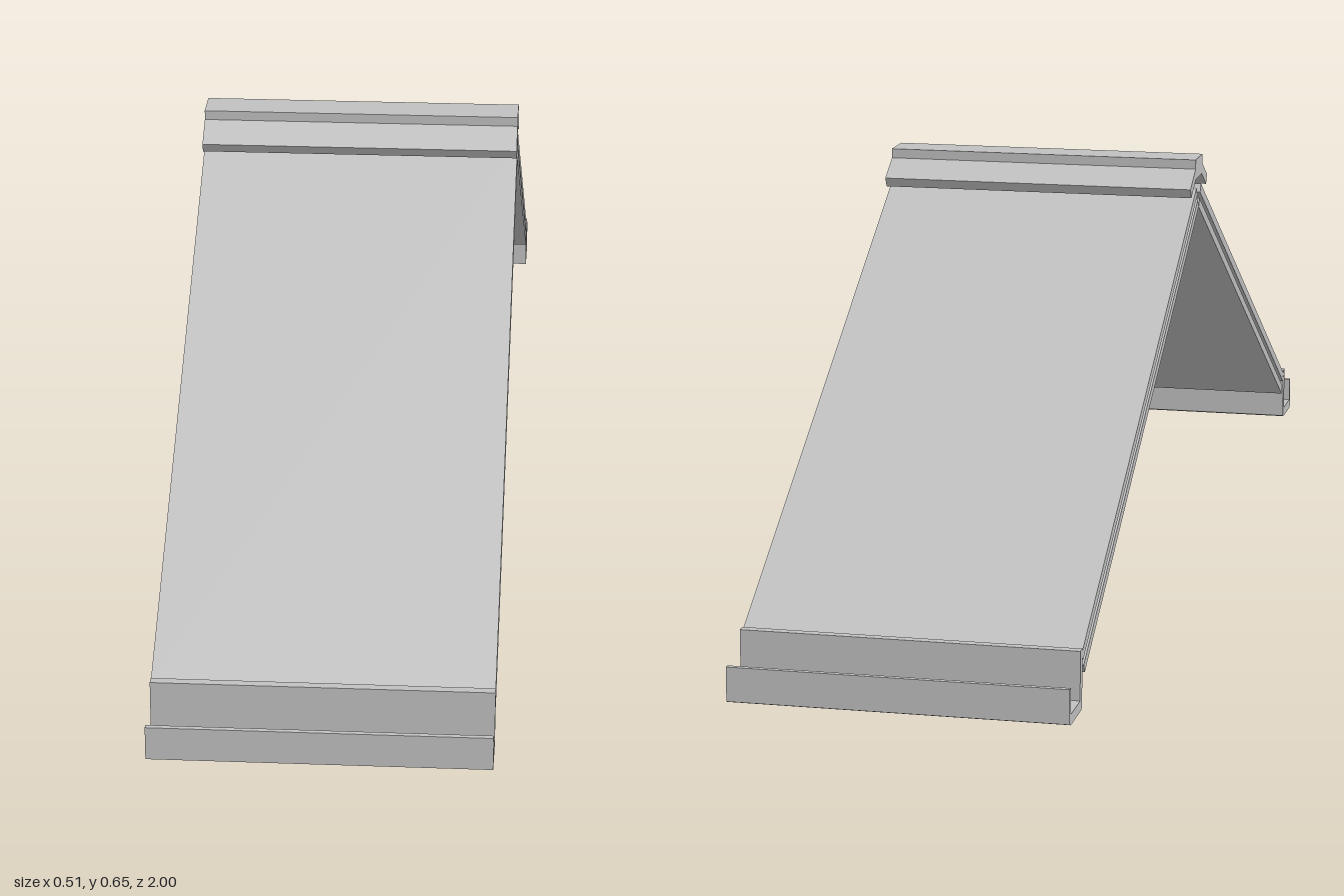
import * as THREE from 'three';

const WIDTH = 0.506;
const SLOPE = Math.PI / 6;

// Extrudes a side profile of [z, y] points along x, centred on x = 0
function extrudeProfile(name, points, width, material) {
  const shape = new THREE.Shape(points.map(([z, y]) => new THREE.Vector2(z, y)));
  const geometry = new THREE.ExtrudeGeometry(shape, { depth: width, bevelEnabled: false });
  geometry.translate(0, 0, -width / 2);
  geometry.rotateY(-Math.PI / 2);
  const mesh = new THREE.Mesh(geometry, material);
  mesh.name = name;
  return mesh;
}

// One layer of the sloping panel, between two heights above its underside
function panelLayer(name, low, high, width, length, material) {
  const c = Math.cos(SLOPE), s = Math.sin(SLOPE);
  const at = (along, up) => [along * c + up * s, 0.567 - along * s + up * c];
  return extrudeProfile(name, [at(0, low), at(length, low), at(length, high), at(0, high)], width, material);
}

// Sloping sandwich panel with a gutter along its eave
function roofSide(name, material) {
  const side = new THREE.Group();
  side.name = name;
  side.add(
    panelLayer('innerSheet', 0, 0.015, WIDTH, 1.035, material),
    panelLayer('panelCore', 0.015, 0.025, WIDTH - 0.016, 1.035, material),
    panelLayer('outerSheet', 0.025, 0.04, WIDTH, 1.035, material),
    extrudeProfile('gutter', [
      [0.914, 0.003], [0.922, 0], [0.992, 0], [1, 0.003], [1, 0.055], [0.992, 0.055],
      [0.992, 0.016], [0.928, 0.016], [0.928, 0.09], [0.914, 0.09],
    ], WIDTH, material),
  );
  return side;
}

export function createModel() {
  const metal = new THREE.MeshStandardMaterial({ color: 0xc0c0c0 });
  metal.name = 'grey metal';

  const model = new THREE.Group();
  model.name = 'gableRoof';

  // Front and back slopes
  const front = roofSide('frontSlope', metal);
  const back = roofSide('backSlope', metal);
  back.rotation.y = Math.PI;
  model.add(front, back);

  // Ridge cap with a raised flat top and two angled flaps
  const half = [[0.03, 0.649], [0.03, 0.634], [0.075, 0.608], [0.067, 0.593], [0.026, 0.617]];
  const mirrored = half.map(([z, y]) => [-z, y]).reverse();
  model.add(extrudeProfile('ridgeCap', [...half, ...mirrored], WIDTH, metal));

  return model;
}
